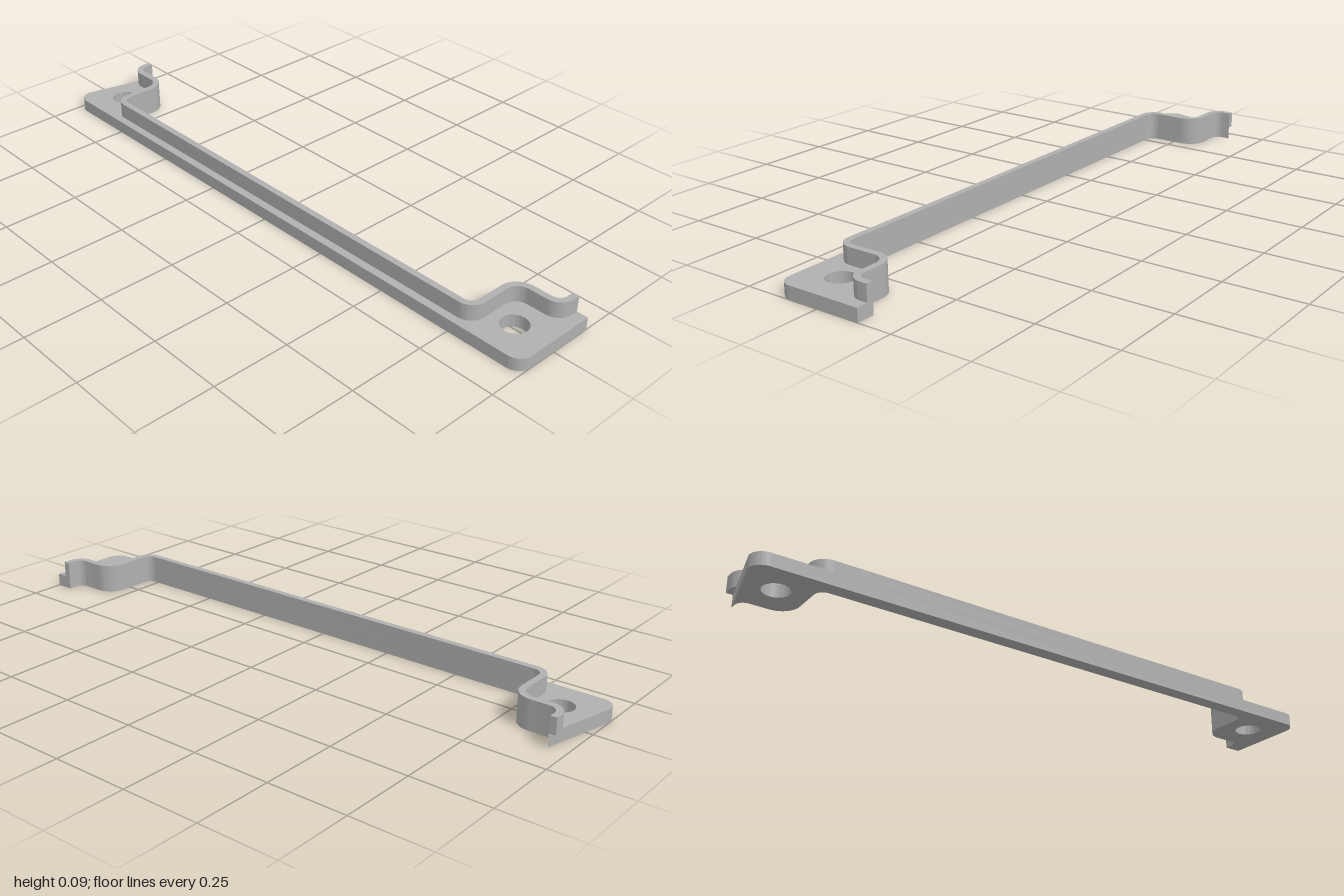
import * as THREE from 'three';
import { toCreasedNormals } from 'three/addons/utils/BufferGeometryUtils.js';

const BASE_H = 0.041, TOP = 0.093, WALL = 0.021;
const LEFT = -0.142, RIGHT = 0.142;

// Stepped inner edge of the bracket, offset by d into the material.
// Runs from the -z end to the +z end; shape y stands for depth.
function edge(d) {
  const p = new THREE.Path();
  p.moveTo(-0.095 - d, 0.7);
  p.absarc(-0.065, 0.76, 0.03 + d, Math.PI, Math.PI / 2, true);
  p.absarc(0.026, 0.853, 0.063 - d, -Math.PI / 2, 0, false);
  p.absarc(0.119, 0.913, 0.03 + d, Math.PI, Math.PI / 2, true);
  p.lineTo(RIGHT, 0.943 + d);
  const half = p.getPoints(12);
  const mirrored = half.map(v => new THREE.Vector2(v.x, -v.y)).reverse();
  return [...mirrored, ...half];
}

// Lay a plan shape flat and raise it from y0 to y1
function slab(shape, y0, y1) {
  const g = new THREE.ExtrudeGeometry(shape, { depth: y1 - y0, bevelEnabled: false, curveSegments: 24 });
  g.rotateX(-Math.PI / 2);
  g.translate(0, y0, 0);
  return toCreasedNormals(g, 0.5);
}

export function createModel() {
  const group = new THREE.Group();
  const grey = new THREE.MeshStandardMaterial({ color: 0xb0b0b0 });
  grey.name = 'plain grey';

  // Base plate: stepped inner edge, rounded outer corners, two screw holes
  const r = 0.045;
  const outer = new THREE.Path();
  outer.moveTo(RIGHT, 1);
  outer.absarc(LEFT + r, 1 - r, r, Math.PI / 2, Math.PI, false);
  outer.absarc(LEFT + r, -1 + r, r, Math.PI, Math.PI * 1.5, false);
  outer.lineTo(RIGHT, -1);
  const plan = new THREE.Shape([...edge(0), ...outer.getPoints(12)]);
  for (const s of [-1, 1]) {
    const hole = new THREE.Path();
    hole.absarc(-0.026, s * 0.885, 0.042, 0, Math.PI * 2, true);
    plan.holes.push(hole);
  }
  const base = new THREE.Mesh(slab(plan, 0, BASE_H), grey);
  base.name = 'basePlate';

  // Thin upright lip following the inner edge
  const strip = new THREE.Shape([...edge(0), ...edge(WALL).reverse()]);
  const lip = new THREE.Mesh(slab(strip, BASE_H, TOP), grey);
  lip.name = 'uprightLip';

  group.add(base, lip);
  return group;
}
